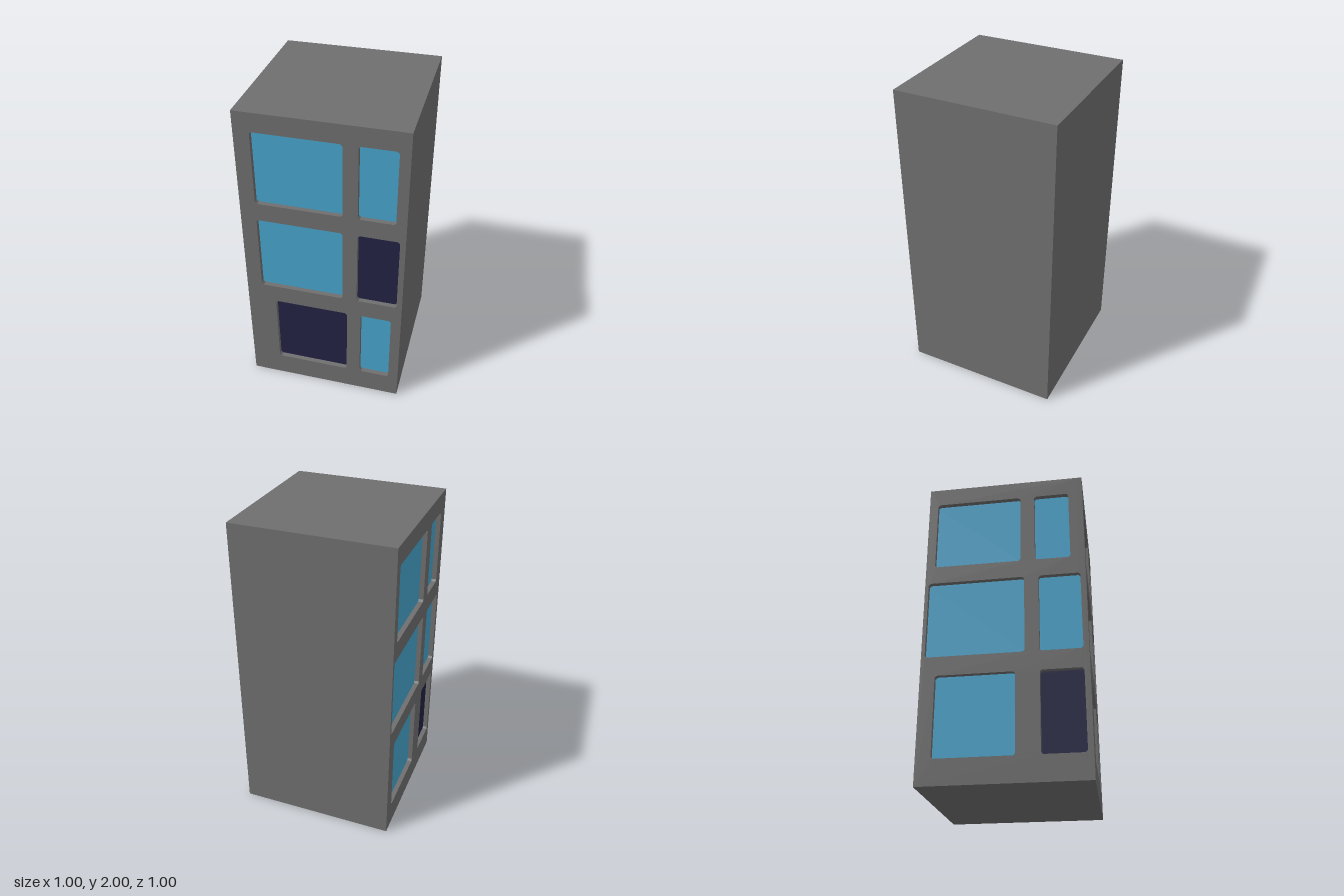
import * as THREE from 'three';

const DEPTH = 0.03; // window recess
const GLASS = 0.004; // pane thickness
const CORNER = 0.012; // small cut at window corners

// Windows as [x0, x1, y0, y1, lit]
const FRONT = [
  [-0.403, 0.125, 1.404, 1.88, true],
  [0.215, 0.437, 1.404, 1.88, true],
  [-0.403, 0.125, 0.78, 1.286, true],
  [0.215, 0.466, 0.78, 1.286, false],
  [-0.316, 0.154, 0.156, 0.658, false],
  [0.242, 0.437, 0.156, 0.658, true],
];
const LEFT = [
  [-0.444, 0.1, 1.404, 1.88, true],
  [0.19, 0.41, 1.404, 1.88, true],
  [-0.478, 0.122, 0.78, 1.286, true],
  [0.21, 0.466, 0.78, 1.286, true],
  [-0.41, 0.067, 0.156, 0.658, true],
  [0.21, 0.466, 0.156, 0.658, false],
];

// Rectangle outline with clipped corners
function outline([x0, x1, y0, y1], c) {
  return [
    [x0 + c, y0], [x1 - c, y0], [x1, y0 + c], [x1, y1 - c],
    [x1 - c, y1], [x0 + c, y1], [x0, y1 - c], [x0, y0 + c],
  ].map(([x, y]) => new THREE.Vector2(x, y));
}

function extrude(shape, depth) {
  return new THREE.ExtrudeGeometry(shape, { depth, bevelEnabled: false });
}

export function createModel() {
  const concrete = new THREE.MeshStandardMaterial({ color: 0x6f6f6f });
  concrete.name = 'concrete grey';
  const blue = new THREE.MeshStandardMaterial({ color: 0x47a4cd });
  blue.name = 'window blue';
  const dark = new THREE.MeshStandardMaterial({ color: 0x222244 });
  dark.name = 'dark window';

  const building = new THREE.Group();
  building.name = 'building';

  // Solid body behind the two window walls
  const t = DEPTH + GLASS;
  const core = new THREE.Mesh(new THREE.BoxGeometry(1 - t, 2, 1 - t), concrete);
  core.name = 'body';
  core.position.set(t / 2, 1, -t / 2);
  building.add(core);

  // Wall with window openings and recessed panes, facing local +z
  function facade(name, windows, xMax) {
    const group = new THREE.Group();
    group.name = name;
    const shape = new THREE.Shape([
      [-0.5, 0], [xMax, 0], [xMax, 2], [-0.5, 2],
    ].map(([x, y]) => new THREE.Vector2(x, y)));
    for (const w of windows) shape.holes.push(new THREE.Path(outline(w, CORNER)));
    const wall = new THREE.Mesh(extrude(shape, t), concrete);
    wall.name = name + 'Wall';
    wall.position.z = 0.5 - t;
    group.add(wall);
    windows.forEach((w, i) => {
      const pane = new THREE.Mesh(
        extrude(new THREE.Shape(outline(w, CORNER)), GLASS), w[4] ? blue : dark);
      pane.name = name + 'Window' + (i + 1);
      pane.position.z = 0.5 - t;
      group.add(pane);
    });
    building.add(group);
    return group;
  }

  facade('front', FRONT, 0.5);
  // Side wall on -x, butting against the front wall
  facade('side', LEFT, 0.5 - DEPTH).rotation.y = -Math.PI / 2;

  return building;
}
